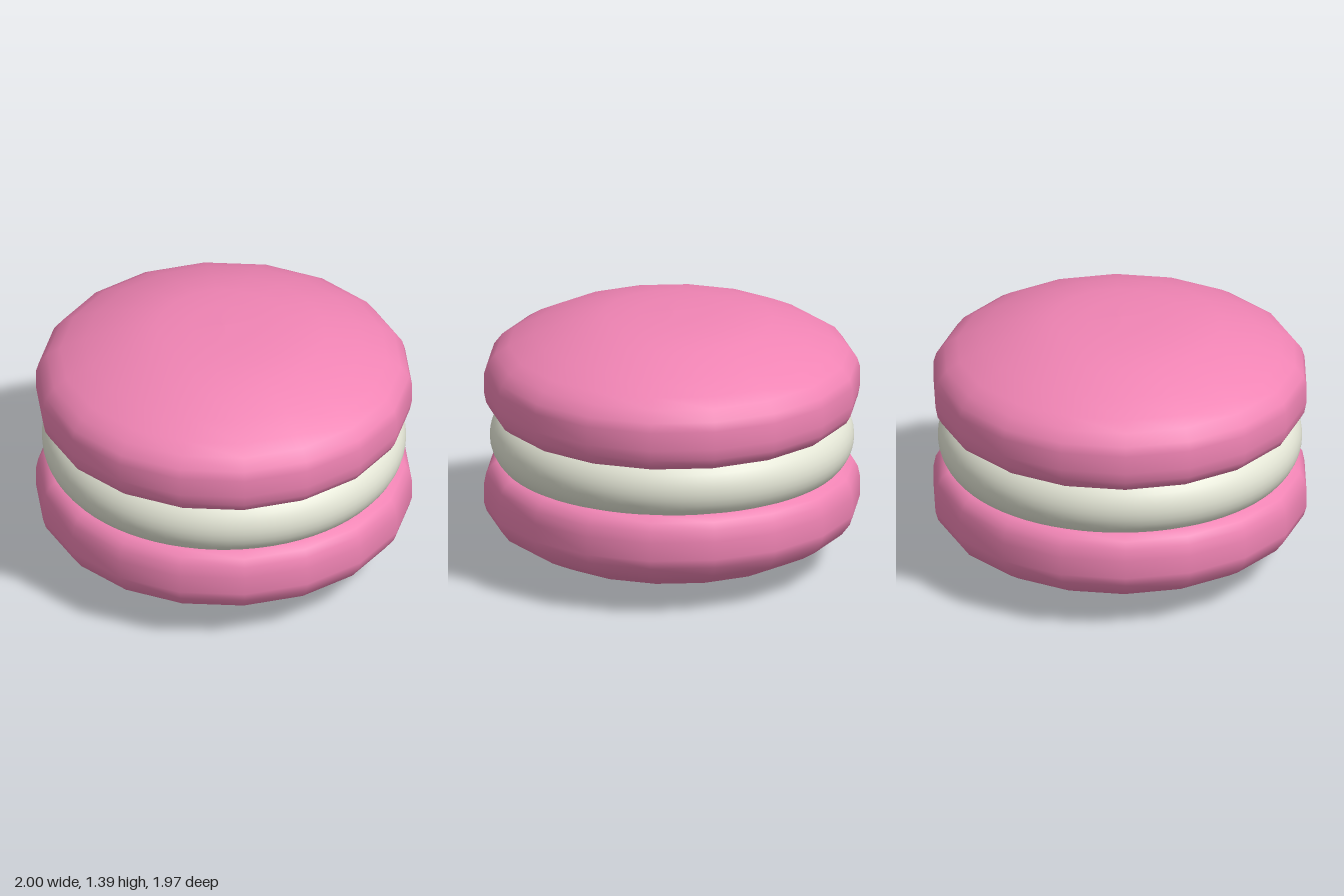
import * as THREE from 'three';

const MID = 0.7; // height of the middle plane

const lathe = (points, sides) =>
  new THREE.LatheGeometry(points.map(([r, y]) => new THREE.Vector2(r, y)), sides, Math.PI / 2);

export function createModel() {
  const model = new THREE.Group();
  const pink = new THREE.MeshStandardMaterial({ color: 0xf084b4 });
  const cream = new THREE.MeshStandardMaterial({ color: 0xe4e6d6 });

  // Domed biscuit shell, 18-sided, heights measured from the middle plane
  const shell = lathe([
    [0, 0.12], [0.6, 0.12], [0.88, 0.122], [0.93, 0.133], [0.965, 0.16],
    [0.988, 0.2], [1, 0.26], [1, 0.36], [0.985, 0.41], [0.94, 0.47],
    [0.87, 0.515], [0.74, 0.58], [0.54, 0.65], [0.36, 0.682], [0.18, 0.693], [0, 0.697],
  ], 18);

  for (const [name, turn] of [['topShell', 0], ['bottomShell', Math.PI]]) {
    const mesh = new THREE.Mesh(shell, pink);
    mesh.name = name;
    mesh.position.y = MID;
    mesh.rotation.x = turn;
    model.add(mesh);
  }

  // Round cream filling with a bulging rim
  const rim = [[0, -0.18]];
  for (let i = 0; i <= 16; i++) {
    const a = -Math.PI / 2 + (i / 16) * Math.PI;
    rim.push([0.787 + 0.18 * Math.cos(a), 0.18 * Math.sin(a)]);
  }
  rim.push([0, 0.18]);
  const filling = new THREE.Mesh(lathe(rim, 72), cream);
  filling.name = 'creamFilling';
  filling.position.y = MID;
  model.add(filling);

  return model;
}
